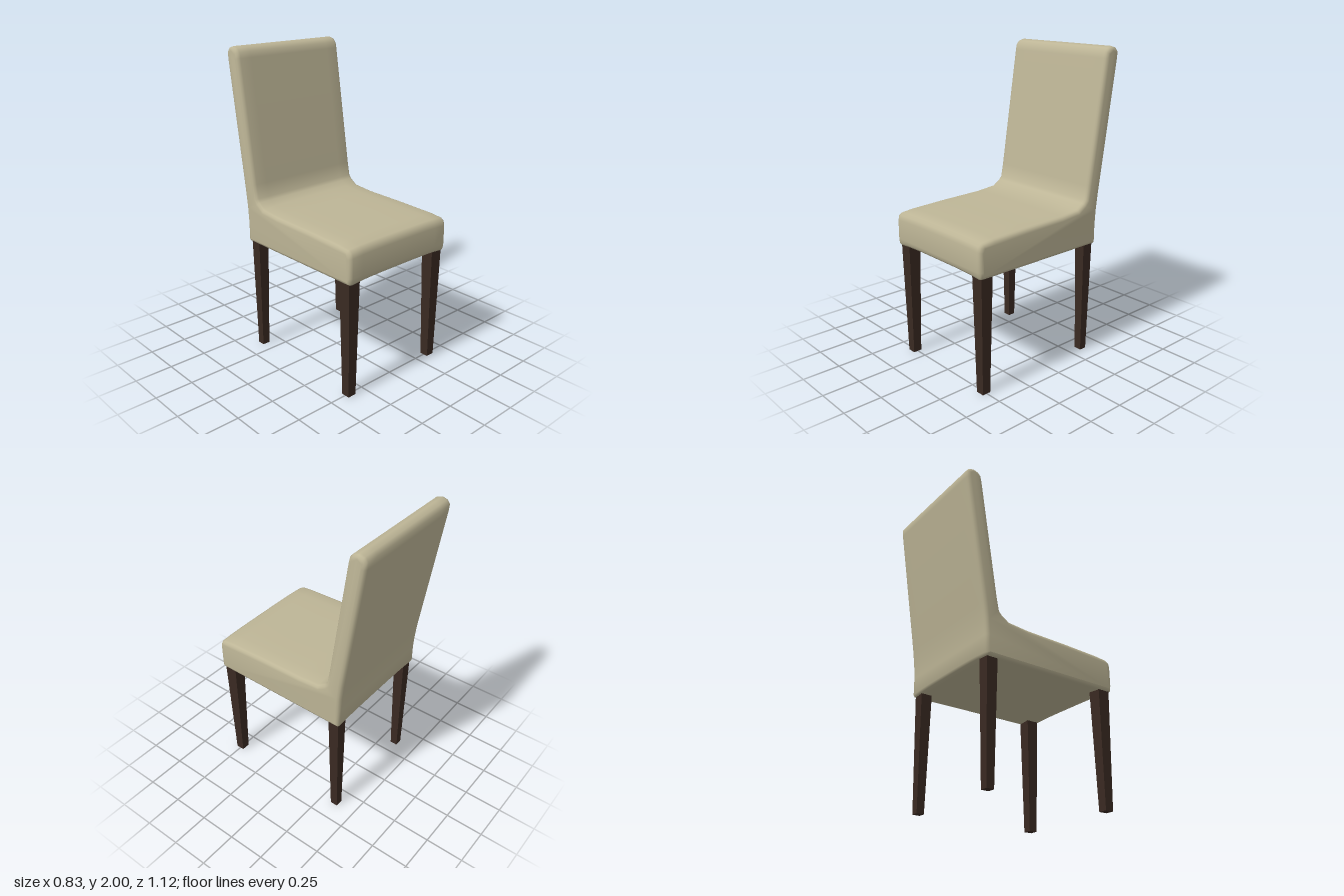
import * as THREE from 'three';
import { toCreasedNormals } from 'three/addons/utils/BufferGeometryUtils.js';

const fabric = new THREE.MeshStandardMaterial({ color: 0xbdb596 });
const wood = new THREE.MeshStandardMaterial({ color: 0x3a2a22 });

const HALF_WIDTH = 0.415;
const BEVEL = 0.026;

// Side outline of seat and backrest as [z, y]
const OUTLINE = [
  [-0.395, 0.75], [-0.36, 0.75], [0.52, 0.75], [0.553, 0.752], [0.561, 0.765],
  [0.565, 0.8], [0.565, 0.93], [0.557, 0.963], [0.535, 0.978], [0.45, 0.987],
  [0.2, 0.996], [-0.1, 1.002], [-0.24, 1.015], [-0.29, 1.04], [-0.308, 1.06],
  [-0.325, 1.15], [-0.444, 1.93], [-0.452, 1.967], [-0.474, 1.99], [-0.508, 2.0],
  [-0.541, 1.991], [-0.56, 1.965], [-0.556, 1.92], [-0.425, 1.08], [-0.412, 0.98],
  [-0.405, 0.88], [-0.404, 0.765],
];

function createUpholstery() {
  const shape = new THREE.Shape(OUTLINE.map(([z, y]) => new THREE.Vector2(z, y)));
  const depth = 2 * (HALF_WIDTH - BEVEL);
  const geometry = new THREE.ExtrudeGeometry(shape, {
    depth, steps: 10, bevelEnabled: true, bevelSize: BEVEL,
    bevelThickness: BEVEL, bevelOffset: -BEVEL, bevelSegments: 3,
  });
  geometry.translate(0, 0, -depth / 2);
  geometry.rotateY(-Math.PI / 2);

  // Crown the cushion and arch the lower hem between the legs
  const p = geometry.attributes.position;
  for (let i = 0; i < p.count; i++) {
    const u = Math.abs(p.getX(i)) / HALF_WIDTH;
    const y = p.getY(i);
    if (y < 0.79) p.setY(i, y + 0.014 * Math.max(0, 1 - u ** 4));
    else if (y > 0.92 && y < 1.03 && p.getZ(i) > -0.28) p.setY(i, y - 0.01 * u ** 4);
  }
  const mesh = new THREE.Mesh(toCreasedNormals(geometry, 1.1), fabric);
  mesh.name = 'upholsteredSeatAndBack';
  return mesh;
}

// Square leg tapering to the floor
function createLeg(name, x, z, topWidth, bottomWidth) {
  const height = 0.79;
  const geometry = new THREE.CylinderGeometry(
    topWidth * Math.SQRT1_2, bottomWidth * Math.SQRT1_2, height, 4, 1).toNonIndexed();
  geometry.rotateY(Math.PI / 4);
  geometry.computeVertexNormals();
  const leg = new THREE.Mesh(geometry, wood);
  leg.position.set(x, height / 2, z);
  leg.name = name;
  return leg;
}

export function createModel() {
  const chair = new THREE.Group();
  chair.name = 'diningChair';
  chair.add(createUpholstery());
  for (const [side, s] of [['Left', 1], ['Right', -1]]) {
    chair.add(createLeg('front' + side + 'Leg', s * 0.358, 0.502, 0.085, 0.057));
    chair.add(createLeg('back' + side + 'Leg', s * 0.358, -0.351, 0.075, 0.05));
  }
  return chair;
}
